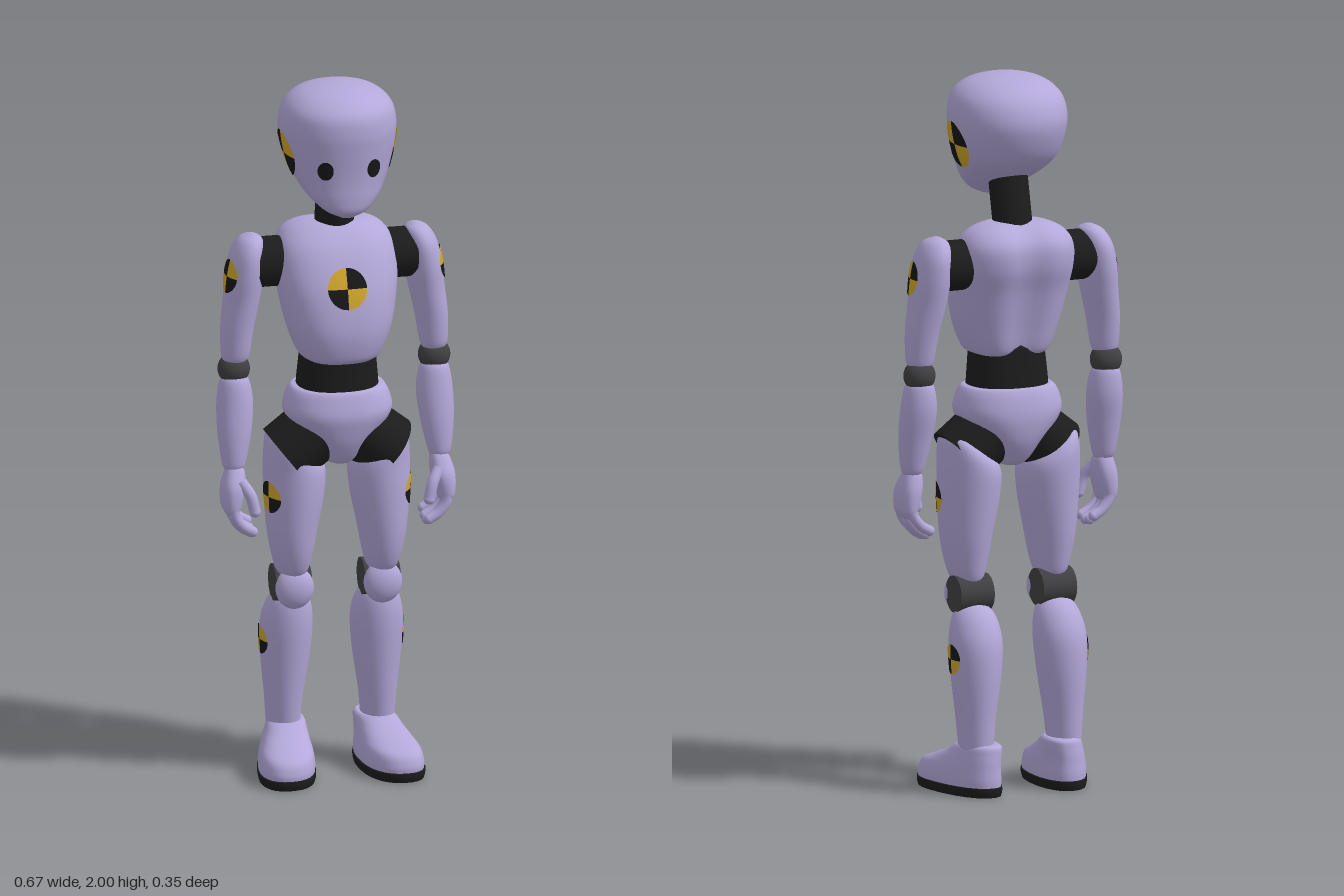
import * as THREE from 'three';

const mat = (name, color) => {
  const m = new THREE.MeshStandardMaterial({ color });
  m.name = name;
  return m;
};

export function createModel() {
  const root = new THREE.Group();
  root.name = 'testMannequin';
  const shell = mat('lilacShell', 0xb3a8d9);
  const black = mat('blackRubber', 0x1c1c1c);
  const grey = mat('greyJoint', 0x404042);
  const yellow = mat('yellowMark', 0xd0a62c);
  const ink = mat('blackMark', 0x17171a);
  yellow.side = ink.side = THREE.DoubleSide;

  const add = (name, geo, material, parent = root) => {
    const m = new THREE.Mesh(geo, material);
    m.name = name;
    parent.add(m);
    return m;
  };

  // Smooth body from horizontal rings: [y, centreX, radiusX, zFront, zBack], bottom to top
  function loft(name, rings, material, { n = 2, bend = null, seg = 40, parent = root } = {}) {
    const mids = new THREE.CatmullRomCurve3(
      rings.map(([y, x, , f, b]) => new THREE.Vector3(x, y, (f + b) / 2)), false, 'catmullrom');
    const radii = new THREE.CatmullRomCurve3(
      rings.map(([, , r, f, b]) => new THREE.Vector3(r, (f - b) / 2, 0)), false, 'catmullrom');
    const rows = (rings.length - 1) * 5, pos = [], idx = [];
    const pow = v => Math.sign(v) * Math.abs(v) ** (2 / n);
    for (let i = 0; i <= rows; i++) {
      const c = mids.getPoint(i / rows), r = radii.getPoint(i / rows);
      for (let j = 0; j < seg; j++) {
        const a = (j / seg) * Math.PI * 2;
        const p = new THREE.Vector3(c.x + r.x * pow(Math.cos(a)), c.y, c.z + r.y * pow(Math.sin(a)));
        if (bend) bend(p);
        pos.push(p.x, p.y, p.z);
      }
    }
    for (let i = 0; i < rows; i++) for (let j = 0; j < seg; j++) {
      const a = i * seg + j, b = i * seg + (j + 1) % seg;
      idx.push(a, a + seg, b, b, a + seg, b + seg);
    }
    // End caps
    const last = rows * seg, c0 = pos.length / 3;
    for (const t of [0, 1]) {
      const c = mids.getPoint(t);
      if (bend) bend(c);
      pos.push(c.x, c.y, c.z);
    }
    for (let j = 0; j < seg; j++) {
      const k = (j + 1) % seg;
      idx.push(c0, j, k, c0 + 1, last + k, last + j);
    }
    const g = new THREE.BufferGeometry();
    g.setAttribute('position', new THREE.Float32BufferAttribute(pos, 3));
    g.setIndex(idx);
    g.computeVertexNormals();
    return add(name, g, material, parent);
  }

  // Round mark laid on a surface; quartered marks alternate black and yellow
  function mark(name, target, at, dir, ru, rv, quartered = true, flip = 1) {
    const d = new THREE.Vector3(...dir).normalize(), up = new THREE.Vector3(0, 1, 0);
    const u = up.clone().cross(d).normalize().multiplyScalar(flip);
    const ray = new THREE.Raycaster(), R = 6, S = 8, pos = [], idx = [];
    const g = new THREE.BufferGeometry();
    target.updateMatrixWorld(true);
    let prev = new THREE.Vector3(...at);
    for (let q = 0; q < 4; q++) {
      const base = pos.length / 3;
      for (let s = 0; s <= S; s++) for (let r = 0; r <= R; r++) {
        const a = (q + s / S) * Math.PI / 2, k = r / R;
        const o = new THREE.Vector3(...at).addScaledVector(u, Math.cos(a) * ru * k)
          .addScaledVector(up, Math.sin(a) * rv * k).addScaledVector(d, 1);
        ray.set(o, d.clone().negate());
        const hit = ray.intersectObject(target, false)[0];
        if (hit) prev = hit.point.addScaledVector(hit.face.normal, 0.003);
        pos.push(prev.x, prev.y, prev.z);
      }
      const start = idx.length;
      for (let s = 0; s < S; s++) for (let r = 0; r < R; r++) {
        const a = base + s * (R + 1) + r, b = a + R + 1;
        idx.push(a, a + 1, b, b, a + 1, b + 1);
      }
      g.addGroup(start, idx.length - start, quartered ? q % 2 : 0);
    }
    g.setAttribute('position', new THREE.Float32BufferAttribute(pos, 3));
    g.setIndex(idx);
    g.computeVertexNormals();
    add(name, g, [ink, yellow]);
  }

  const ball = (name, x, y, z, rx, ry, rz, material) => {
    const m = add(name, new THREE.SphereGeometry(1, 32, 20), material);
    m.position.set(x, y, z);
    m.scale.set(rx, ry, rz);
    return m;
  };

  // Cylinder running between two points
  function rod(name, a, b, r, material, squash = 1) {
    const p = new THREE.Vector3(...a), q = new THREE.Vector3(...b);
    const m = add(name, new THREE.CylinderGeometry(r, r, p.distanceTo(q), 36), material);
    m.quaternion.setFromUnitVectors(new THREE.Vector3(0, 1, 0), q.clone().sub(p).normalize());
    m.position.copy(p.add(q).multiplyScalar(0.5));
    m.scale.z = squash;
    return m;
  }

  // Head, eyes and neck
  const head = loft('head', [
    [1.645, 0, 0.02, 0.135, 0.1], [1.665, 0, 0.062, 0.155, 0.055], [1.7, 0, 0.1, 0.16, -0.02],
    [1.74, 0, 0.126, 0.161, -0.095], [1.78, 0, 0.143, 0.164, -0.142], [1.84, 0, 0.158, 0.171, -0.171],
    [1.89, 0, 0.162, 0.175, -0.177], [1.94, 0, 0.15, 0.166, -0.157], [1.975, 0, 0.115, 0.127, -0.112],
    [1.993, 0, 0.065, 0.075, -0.055], [2, 0, 0.012, 0.02, -0.003]], shell, { seg: 56, n: 2.1 });
  rod('neck', [0, 1.76, 0.005], [0, 1.56, -0.042], 0.055, black);

  // Torso with a shallow spine groove
  const chest = loft('chest', [
    [1.215, 0, 0.095, 0.115, -0.09], [1.235, 0, 0.117, 0.135, -0.108], [1.31, 0, 0.145, 0.148, -0.125],
    [1.4, 0, 0.163, 0.136, -0.147], [1.47, 0, 0.17, 0.112, -0.17], [1.53, 0, 0.163, 0.08, -0.172],
    [1.568, 0, 0.137, 0.045, -0.147], [1.588, 0, 0.095, 0.018, -0.11], [1.594, 0, 0.05, 0, -0.08]],
  shell, {
    n: 2.5, seg: 56,
    bend: p => { if (p.z < -0.03) p.z += 0.022 * Math.exp(-((p.x / 0.05) ** 2)); },
  });
  loft('waist', [[1.09, 0, 0.116, 0.1, -0.1], [1.15, 0, 0.112, 0.098, -0.098],
    [1.25, 0, 0.102, 0.1, -0.09]], black, { n: 2.3 });
  loft('pelvis', [
    [0.905, 0, 0.025, 0.04, -0.05], [0.92, 0, 0.045, 0.075, -0.08], [0.97, 0, 0.085, 0.105, -0.112],
    [1.02, 0, 0.13, 0.12, -0.125], [1.06, 0, 0.151, 0.126, -0.127], [1.1, 0, 0.144, 0.117, -0.12],
    [1.125, 0, 0.13, 0.107, -0.11], [1.13, 0, 0.115, 0.095, -0.1]], shell, { n: 2.3 });

  mark('chestMark', chest, [0, 1.435, 0], [0, 0, 1], 0.055, 0.055);

  for (const s of [1, -1]) {
    const side = s > 0 ? 'left' : 'right';
    const limb = (name, rings, opts) =>
      loft(side + name, rings.map(([y, x, ...rest]) => [y, x * s, ...rest]), shell, opts);

    mark(side + 'Eye', head, [s * 0.067, 1.79, 0], [0, 0, 1], 0.02, 0.027, false);
    mark(side + 'HeadMark', head, [0, 1.81, 0.012], [s, 0, 0], 0.065, 0.065, true, s);

    // Arm
    rod(side + 'ShoulderJoint', [s * 0.1, 1.48, -0.04], [s * 0.225, 1.48, -0.04], 0.07, black);
    const upperArm = limb('UpperArm', [
      [1.195, 0.282, 0.026, -0.01, -0.06], [1.22, 0.281, 0.039, 0.005, -0.072],
      [1.3, 0.275, 0.046, 0.018, -0.09], [1.38, 0.262, 0.05, 0.028, -0.107],
      [1.45, 0.253, 0.052, 0.036, -0.119], [1.51, 0.245, 0.046, 0.033, -0.117],
      [1.548, 0.236, 0.033, 0.012, -0.092], [1.563, 0.232, 0.01, -0.025, -0.055]]);
    mark(side + 'ArmMark', upperArm, [0, 1.45, -0.025], [s, 0, 0], 0.043, 0.047, true, s);
    ball(side + 'Elbow', s * 0.284, 1.178, -0.038, 0.045, 0.045, 0.043, grey);
    limb('Forearm', [
      [0.898, 0.291, 0.026, 0.02, -0.032], [0.92, 0.291, 0.034, 0.028, -0.042],
      [1, 0.287, 0.047, 0.028, -0.062], [1.08, 0.283, 0.051, 0.02, -0.08],
      [1.145, 0.283, 0.041, 0.008, -0.078], [1.168, 0.283, 0.022, -0.012, -0.06]]);

    // Hand with curled fingers
    limb('Palm', [
      [0.775, 0.302, 0.016, 0.055, -0.038], [0.8, 0.303, 0.026, 0.062, -0.045],
      [0.85, 0.297, 0.033, 0.058, -0.045], [0.89, 0.291, 0.028, 0.035, -0.035],
      [0.91, 0.29, 0.02, 0.02, -0.025]], { n: 2.4, seg: 28 });
    const digit = (name, pts, r) => {
      const v = pts.map(([x, y, z]) => new THREE.Vector3(x * s, y, z));
      add(name, new THREE.TubeGeometry(new THREE.CatmullRomCurve3(v), 10, r, 12), shell);
      const tip = v[v.length - 1];
      ball(name + 'Tip', tip.x, tip.y, tip.z, r, r, r, shell);
    };
    [-0.03, -0.004, 0.022, 0.047].forEach((z, i) => {
      const drop = [0.018, 0.004, 0, 0.008][i];
      digit(`${side}Finger${i + 1}`, [[0.303, 0.81, z], [0.298, 0.765 + drop, z],
        [0.275, 0.735 + drop, z], [0.25, 0.72 + drop, z]], 0.0145);
    });
    digit(side + 'Thumb', [[0.28, 0.87, 0.035], [0.258, 0.835, 0.055], [0.247, 0.79, 0.06]], 0.016);

    // Hip and thigh
    rod(side + 'HipJoint', [s * 0.06, 1, 0], [s * 0.15, 0.93, 0], 0.09, black, 1.1);
    const thigh = limb('Thigh', [
      [0.578, 0.126, 0.032, 0.03, -0.055], [0.6, 0.127, 0.045, 0.055, -0.07],
      [0.65, 0.128, 0.058, 0.075, -0.083], [0.72, 0.127, 0.07, 0.088, -0.097],
      [0.82, 0.121, 0.083, 0.096, -0.11], [0.9, 0.121, 0.084, 0.097, -0.117],
      [0.95, 0.139, 0.063, 0.092, -0.11], [0.985, 0.16, 0.038, 0.07, -0.085],
      [1.005, 0.17, 0.015, 0.03, -0.045]]);
    mark(side + 'ThighMark', thigh, [0, 0.82, 0], [s, 0, 0.15], 0.045, 0.045, true, s);

    // Knee and shin
    rod(side + 'KneeJoint', [s * 0.075, 0.553, -0.03], [s * 0.176, 0.553, -0.03], 0.052, grey);
    ball(side + 'Kneecap', s * 0.125, 0.548, 0.02, 0.054, 0.06, 0.036, shell);
    const shin = limb('Shin', [
      [0.095, 0.135, 0.038, -0.035, -0.13], [0.13, 0.134, 0.046, -0.027, -0.142],
      [0.21, 0.133, 0.053, -0.014, -0.148], [0.33, 0.13, 0.068, 0.002, -0.156],
      [0.42, 0.128, 0.073, 0.012, -0.152], [0.48, 0.126, 0.064, 0.012, -0.128],
      [0.515, 0.125, 0.045, 0.002, -0.098], [0.528, 0.125, 0.018, -0.022, -0.07]]);
    mark(side + 'ShinMark', shin, [0, 0.38, -0.07], [s, 0, 0], 0.042, 0.042, true, s);

    // Foot: narrower at the heel, toe turned slightly outwards
    const splay = p => {
      const mid = s * 0.145;
      p.x = mid + (p.x - mid) * (1 + p.z * 0.9) + s * p.z * 0.13;
    };
    limb('Foot', [
      [0.022, 0.145, 0.078, 0.143, -0.167], [0.045, 0.145, 0.079, 0.143, -0.168],
      [0.075, 0.144, 0.075, 0.127, -0.166], [0.096, 0.142, 0.069, 0.075, -0.165],
      [0.115, 0.139, 0.064, 0.025, -0.163], [0.135, 0.136, 0.058, -0.012, -0.16],
      [0.143, 0.135, 0.048, -0.025, -0.15]], { n: 2.3, bend: splay });
    loft(side + 'Sole', [[0, s * 0.145, 0.078, 0.143, -0.167], [0.014, s * 0.145, 0.081, 0.147, -0.171],
      [0.027, s * 0.145, 0.081, 0.147, -0.171]], black, { n: 2.3, bend: splay });
  }
  return root;
}
